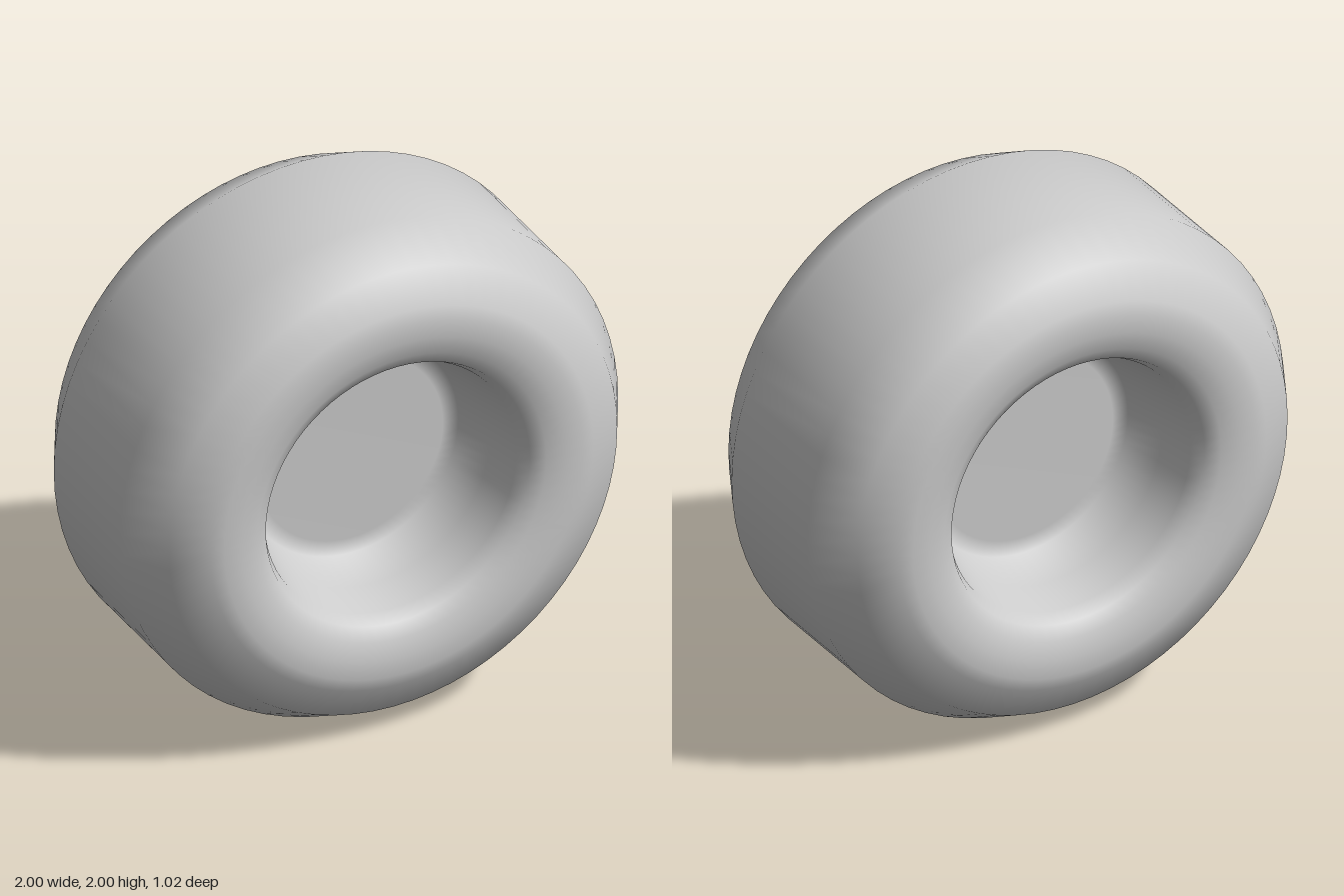
import * as THREE from 'three';

export function createModel() {
  const group = new THREE.Group();
  group.name = 'wheel';
  const material = new THREE.MeshStandardMaterial({ color: 0xcccccc });

  // Half profile as [radius, z], from hub centre out to the tread
  const half = [
    [0, 0.11], [0.37, 0.11], [0.43, 0.115], [0.475, 0.27], [0.505, 0.41], [0.53, 0.465],
    [0.58, 0.495], [0.65, 0.51], [0.72, 0.51], [0.77, 0.495], [0.9, 0.43], [1, 0.25],
  ];

  // Mirror the half to run from the back hub, over the tread, to the front hub
  const points = [
    ...half.map(([r, z]) => new THREE.Vector2(r, -z)),
    ...half.slice().reverse().map(([r, z]) => new THREE.Vector2(r, z)),
  ];

  // Tyre with recessed hub on both sides, axle along z
  const geometry = new THREE.LatheGeometry(points, 72);
  geometry.rotateX(Math.PI / 2);
  const tyre = new THREE.Mesh(geometry, material);
  tyre.name = 'tyreAndHub';
  tyre.position.y = 1;
  group.add(tyre);

  return group;
}
